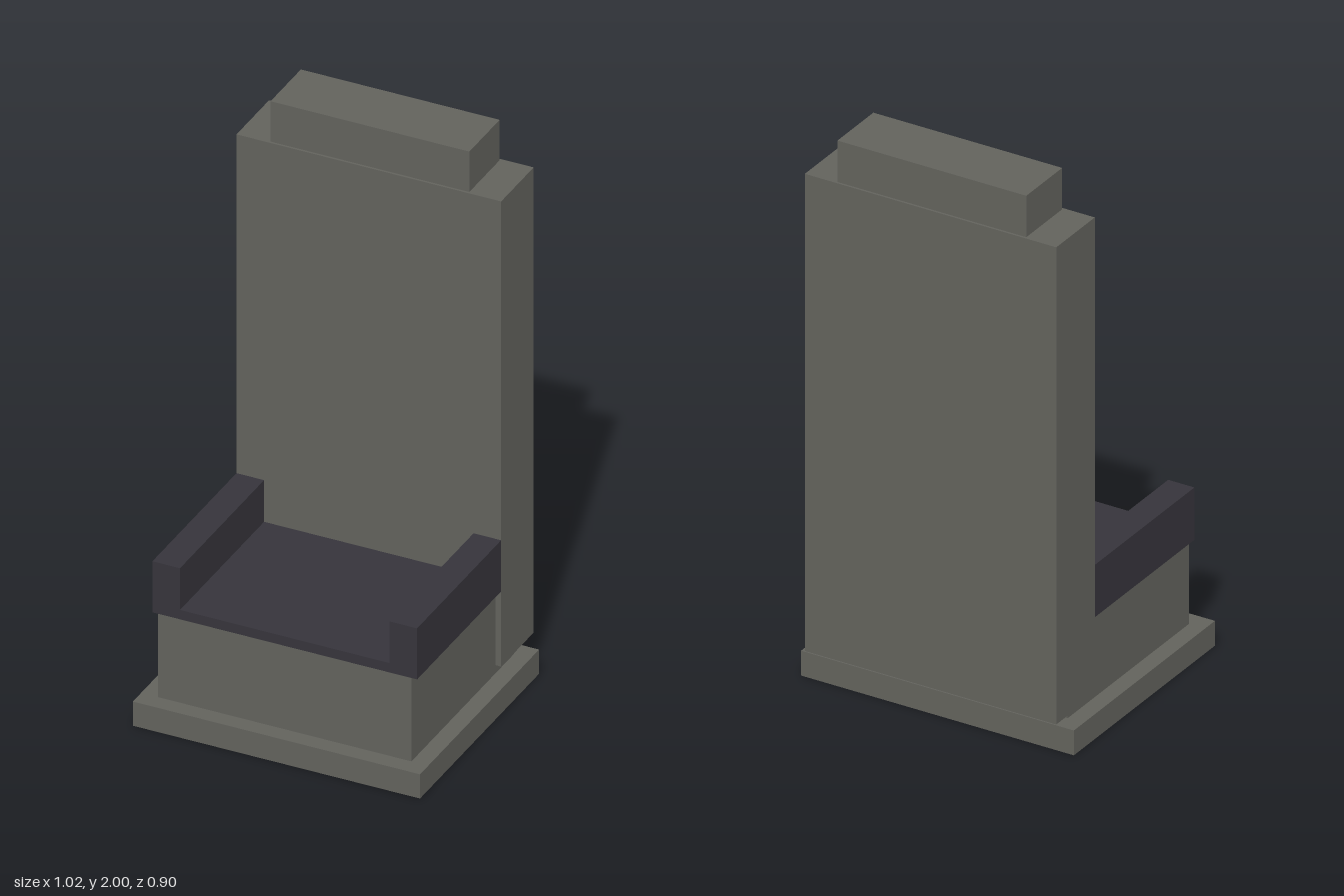
import * as THREE from 'three';

const stone = new THREE.MeshStandardMaterial({ color: 0x62625c });
stone.name = 'grey stone';
const dark = new THREE.MeshStandardMaterial({ color: 0x36343b });
dark.name = 'dark slate';

// Box given by its limits on each axis
function block(name, material, [x0, x1], [y0, y1], [z0, z1]) {
  const mesh = new THREE.Mesh(new THREE.BoxGeometry(x1 - x0, y1 - y0, z1 - z0), material);
  mesh.position.set((x0 + x1) / 2, (y0 + y1) / 2, (z0 + z1) / 2);
  mesh.name = name;
  return mesh;
}

export function createModel() {
  const throne = new THREE.Group();
  throne.name = 'throne';

  // Stone body
  throne.add(
    block('base', stone, [-0.51, 0.51], [0, 0.09], [-0.41, 0.45]),
    block('seatBlock', stone, [-0.45, 0.45], [0.09, 0.4], [-0.35, 0.39]),
    block('backrest', stone, [-0.47, 0.47], [0.12, 1.85], [-0.452, -0.217]),
    block('backrestCap', stone, [-0.353, 0.353], [1.85, 2], [-0.444, -0.225])
  );

  // Dark seat slab with an armrest on each side
  throne.add(block('seatSlab', dark, [-0.47, 0.47], [0.4, 0.435], [-0.217, 0.39]));
  for (const [name, x] of [['leftArmrest', 0.421], ['rightArmrest', -0.421]]) {
    throne.add(block(name, dark, [x - 0.049, x + 0.049], [0.435, 0.59], [-0.217, 0.39]));
  }

  return throne;
}
